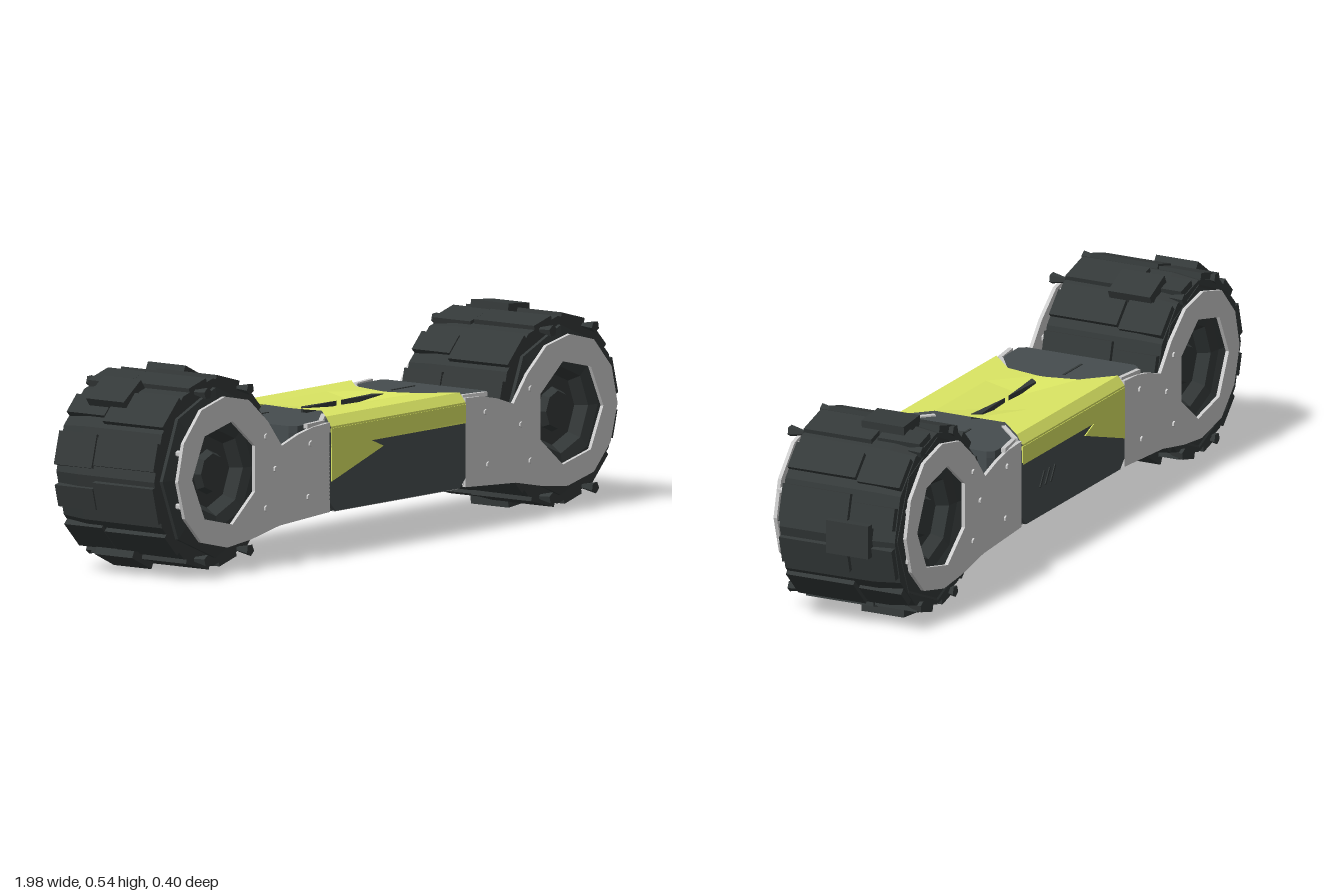
import * as THREE from 'three';

const paint = (color, side = THREE.FrontSide) =>
  new THREE.MeshStandardMaterial({ color, side, flatShading: true });
const dark = paint(0x343939, THREE.DoubleSide);
const panel = paint(0x464d4f);
const pale = paint(0xcccccc);
const yellow = paint(0xdbe663, THREE.DoubleSide);

const CX = 0.73, CY = 0.27; // wheel centre, mirrored in x
const SHIFT = -0.007; // sideways offset of the chassis

function add(parent, name, geometry, material, x = 0, y = 0, z = 0) {
  const mesh = new THREE.Mesh(geometry, material);
  mesh.name = name;
  mesh.position.set(x, y, z);
  parent.add(mesh);
  return mesh;
}

const outline = (points) => new THREE.Shape(points.map(([x, y]) => new THREE.Vector2(x, y)));

function slab(shape, depth) {
  return new THREE.ExtrudeGeometry(shape, { depth, bevelEnabled: false });
}

// Plan outline (x, z) raised between two heights
function plan(points, y0, y1) {
  return slab(outline(points), y1 - y0).rotateX(Math.PI / 2).translate(0, y1, 0);
}

// Thin straight bar between two points
function bar(parent, name, a, b, thick, material) {
  const p = new THREE.Vector3(...a), q = new THREE.Vector3(...b);
  const mesh = add(parent, name, new THREE.BoxGeometry(thick, thick, p.distanceTo(q)), material);
  mesh.position.copy(p).add(q).multiplyScalar(0.5);
  mesh.lookAt(q);
}

// Wheel: faceted drum, stepped treads, recessed hubs, a few large cleats
function wheel(s, cleatAngles) {
  const g = new THREE.Group();
  g.name = 'wheel';
  g.position.set(s * CX, CY, 0);

  const profile = [[0.19, -0.185], [0.236, -0.185], [0.246, -0.11], [0.248, 0.15], [0.19, 0.15]]
    .map(([r, h]) => new THREE.Vector2(r, h));
  add(g, 'tyre', new THREE.LatheGeometry(profile, 12).rotateX(Math.PI / 2), dark);

  for (let i = 0; i < 12; i++) {
    const tread = new THREE.Group();
    tread.name = 'tread';
    tread.rotation.z = ((i + 0.5) / 12) * Math.PI * 2;
    const wide = i % 2 === 0;
    add(tread, 'treadBlock', new THREE.BoxGeometry(0.03, wide ? 0.1 : 0.075, 0.2), dark, 0.236, 0, 0.05);
    add(tread, 'treadStep', new THREE.BoxGeometry(0.03, wide ? 0.06 : 0.09, 0.125), dark, 0.232, 0, -0.12);
    g.add(tread);
  }
  for (const degrees of cleatAngles) {
    const cleat = new THREE.Group();
    cleat.name = 'cleat';
    cleat.rotation.z = THREE.MathUtils.degToRad(degrees);
    add(cleat, 'cleatBlock', new THREE.BoxGeometry(0.04, 0.09, 0.125), dark, 0.247, 0, -0.06);
    g.add(cleat);
  }

  for (const f of [1, -1]) {
    const hub = [[0.225, f > 0 ? 0.15 : 0.182], [0.225, f > 0 ? 0.16 : 0.187], [0.15, 0.165], [0.115, 0.16],
      [0.095, 0.13], [0.06, 0.13], [0.05, 0.15], [0, 0.15]].map(([r, h]) => new THREE.Vector2(r, h));
    add(g, 'hub', new THREE.LatheGeometry(hub, 8).rotateX(f * Math.PI / 2), dark);
    for (let i = 0; i < 8; i++) {
      const a = ((i + 0.5) / 8) * Math.PI * 2;
      add(g, 'spacerBolt', new THREE.CylinderGeometry(0.01, 0.008, 0.03, 6).rotateX(Math.PI / 2), pale,
        Math.cos(a) * 0.182, Math.sin(a) * 0.182, f * 0.178);
    }
    // Pointed lugs at the top and bottom of the rim
    for (const degrees of [65, 110, -65, -110]) {
      const a = THREE.MathUtils.degToRad(degrees);
      const lug = add(g, 'rimLug', new THREE.CylinderGeometry(0.016, 0.007, 0.042, 5).rotateX(f * Math.PI / 2), dark,
        Math.cos(a) * 0.235, Math.sin(a) * 0.235, f * 0.176);
      lug.rotation.z = a;
    }
  }
  return g;
}

// Side arm: plate with a ring around the hub
function arm(s, f) {
  const g = new THREE.Group();
  g.name = 'arm';
  g.position.x = SHIFT;
  const shape = outline([[0.287, 0.12], [0.287, 0.356], [0.36, 0.352], [0.42, 0.34], [0.49, 0.318], [0.55, 0.39],
    [0.63, 0.455], [0.73, 0.475], [0.83, 0.45], [0.905, 0.37], [0.93, 0.27], [0.9, 0.17], [0.83, 0.1],
    [0.72, 0.075], [0.62, 0.085], [0.5, 0.108]].map(([x, y]) => [s * x, y]));
  const hole = new THREE.Path();
  for (let i = 0; i < 7; i++) {
    const a = (i / 7) * Math.PI * 2;
    const x = s * (CX + Math.cos(a) * 0.14), y = CY + Math.sin(a) * 0.14;
    i ? hole.lineTo(x, y) : hole.moveTo(x, y);
  }
  hole.closePath();
  shape.holes.push(hole);
  add(g, 'sidePlate', slab(shape, 0.01), pale, 0, 0, f > 0 ? 0.187 : -0.197);

  // Fasteners on the plate face
  for (const [x, y] of [[0.37, 0.31], [0.38, 0.17], [0.52, 0.26], [0.56, 0.16], [0.56, 0.35]]) {
    add(g, 'fastener', new THREE.CylinderGeometry(0.008, 0.008, 0.008, 6).rotateX(Math.PI / 2), pale,
      s * x, y, f * 0.198);
  }
  // Shoulder joining the plate to the chassis
  const shoulder = [[0.285, 0.16], [0.285, 0.19], [0.37, 0.19], [0.3, 0.172]].map(([x, z]) => [s * x, f * z]);
  add(g, 'shoulder', plan(shoulder, 0.125, 0.354), pale);
  // Trim running from the plate around the deck to the waist
  const path = [[0.38, 0.19], [0.295, 0.178], [0.205, 0.105]];
  for (let i = 0; i < 2; i++) {
    const [a, b] = [path[i], path[i + 1]];
    bar(g, 'deckTrim', [s * a[0], 0.356, f * a[1]], [s * b[0], 0.356, f * b[1]], 0.012, pale);
  }
  return g;
}

// Yellow cover: rows across z, pinched at the waist and dished towards the middle
function coverGeometry() {
  const rows = [[0.2, 0.29, 0.285], [0.198, 0.345, 0.285], [0.18, 0.37, 0.283], [0.105, 0.37, 0.205], [0.012, 0.366, 0.195]];
  const all = [...rows, ...rows.slice().reverse().map(([z, y, w]) => [-z, y, w])];
  const cols = [-1, -0.4, 0.4, 1];
  const pos = [], index = [];
  all.forEach(([z, y, w]) => cols.forEach((c) => {
    const dip = Math.abs(z) < 0.05 && Math.abs(c) < 1 ? 0.014 : 0;
    pos.push(c * w + SHIFT, y - dip, z);
  }));
  for (let r = 0; r < all.length - 1; r++) {
    for (let c = 0; c < 3; c++) {
      const a = r * 4 + c;
      index.push(a, a + 1, a + 4, a + 1, a + 5, a + 4);
    }
  }
  const geo = new THREE.BufferGeometry();
  geo.setAttribute('position', new THREE.Float32BufferAttribute(pos, 3));
  geo.setIndex(index);
  geo.computeVertexNormals();
  return geo;
}

function body() {
  const g = new THREE.Group();
  g.name = 'body';

  // Core with a narrower deck at each end
  const ringOf = (q) => {
    const quarter = (sx, sz) => q.map(([x, z]) => [sx * x + SHIFT, sz * z]);
    return [...quarter(1, 1), ...quarter(1, -1).reverse(), ...quarter(-1, -1), ...quarter(-1, 1).reverse()];
  };
  add(g, 'core', plan(ringOf([[0.27, 0.188], [0.295, 0.176], [0.395, 0.176], [0.415, 0.16]]), 0.135, 0.345), panel);
  add(g, 'floor', plan(ringOf([[0.262, 0.186], [0.285, 0.155], [0.4, 0.155]]), 0.118, 0.135), dark);

  for (const s of [1, -1]) {
    const deck = [[0.195, -0.1], [0.29, -0.178], [0.4, -0.178], [0.415, -0.16],
      [0.415, 0.16], [0.4, 0.178], [0.29, 0.178], [0.195, 0.1]].map(([x, z]) => [s * x + SHIFT, z]);
    add(g, 'deck', plan(deck, 0.34, 0.358), panel);
    add(g, 'deckGroove', new THREE.BoxGeometry(0.1, 0.004, 0.006), dark, s * 0.31, 0.358, -0.035);
    // Slit at the centre of the cover
    const slit = [[0.01, 0], [0.1, 0.008], [0.17, 0.015], [0.15, -0.008]].map(([x, z]) => [s * x + SHIFT, z]);
    add(g, 'coverSlit', plan(slit, 0.35, 0.365), dark);
  }
  add(g, 'cover', coverGeometry(), yellow);

  for (const f of [1, -1]) {
    const side = outline([[-0.295, 0.145], [-0.27, 0.12], [0.255, 0.12], [0.28, 0.145], [0.28, 0.33], [-0.295, 0.33]]);
    add(g, 'sidePanel', slab(side, 0.012), panel, 0, 0, f > 0 ? 0.185 : -0.197);
    const flap = outline([[-0.29, 0.2], [-0.07, 0.27], [-0.12, 0.29], [0.278, 0.295], [0.278, 0.34], [-0.29, 0.34]]);
    add(g, 'coverFlap', slab(flap, 0.005), yellow, 0, 0, f > 0 ? 0.195 : -0.2);
    bar(g, 'sillTrim', [-0.27, 0.121, f * 0.188], [0.255, 0.121, f * 0.188], 0.007, pale);
  }
  // Three slanted vents on the back panel
  for (let i = 0; i < 3; i++) {
    const x = 0.12 + i * 0.03;
    bar(g, 'vent', [x, 0.2, -0.197], [x - 0.025, 0.24, -0.197], 0.006, dark);
  }
  return g;
}

export function createModel() {
  const model = new THREE.Group();
  model.name = 'twoWheeledVehicle';
  model.add(body());
  model.add(wheel(1, [0, 85, 180, 275]), wheel(-1, [65, 125, 245, 300]));
  for (const s of [1, -1]) {
    for (const f of [1, -1]) model.add(arm(s, f));
  }
  return model;
}
